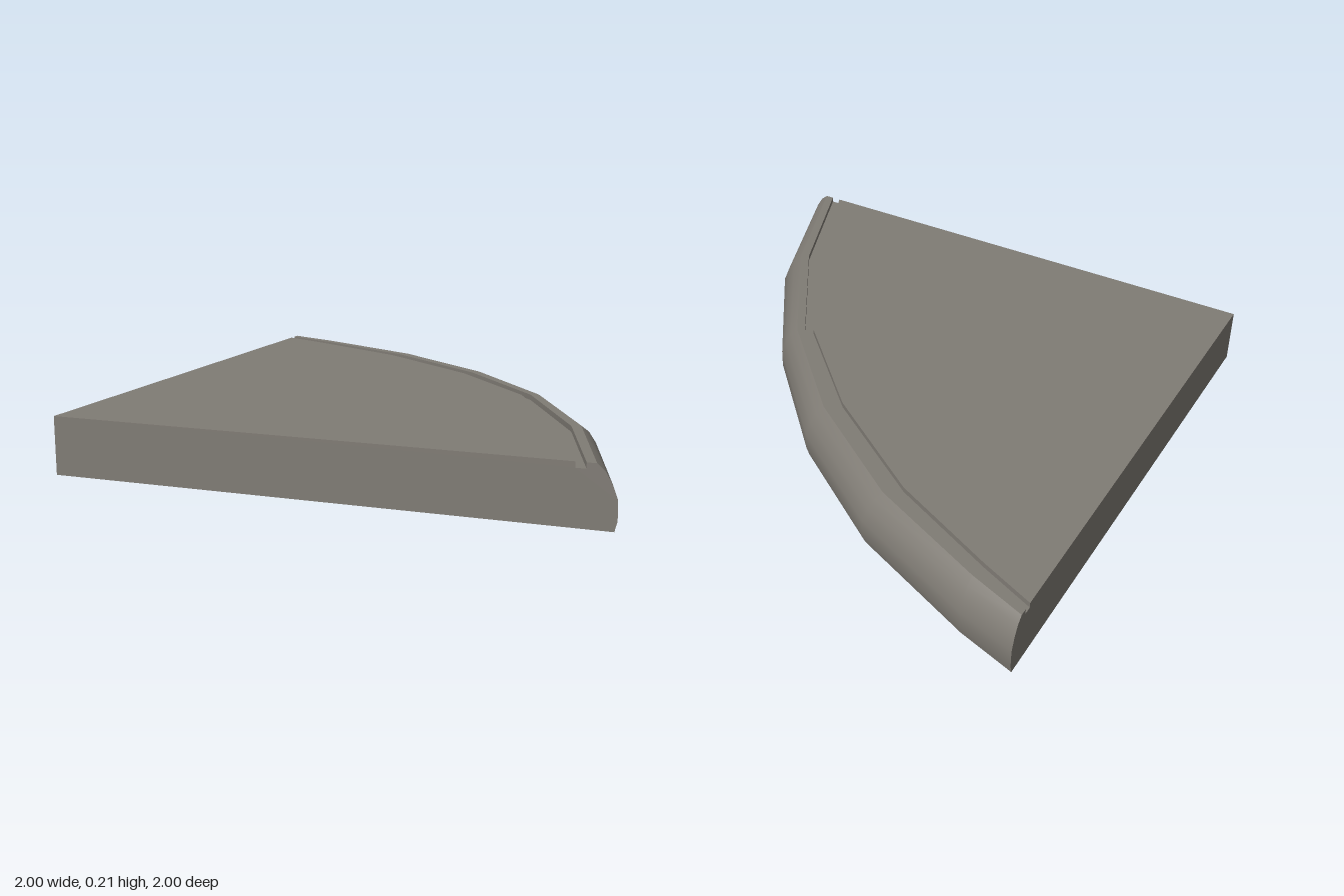
import * as THREE from 'three';
import { toCreasedNormals } from 'three/addons/utils/BufferGeometryUtils.js';

const HEIGHT = 0.21;

// Plan of the curved side [x, z]: outermost line, and inner edge of the groove
const OUTER = [[-1, -1], [-0.78, -0.93], [-0.28, -0.71], [0.15, -0.4], [0.52, 0], [0.81, 0.46], [1, 1]];
const INNER = [[-1, -0.88], [-0.79, -0.79], [-0.38, -0.595], [0.055, -0.29], [0.405, 0.06], [0.69, 0.54], [0.865, 1]];

// Cross-sections [t, y]: t = 0 on the outermost line, 1 on the inner line
const GROOVE = [[1, HEIGHT], [1, 0.19], [0.74, 0.19], [0.74, HEIGHT]];
const RIM = [[0.74, HEIGHT], [0.5, HEIGHT], [0.3, 0.187], [0.13, 0.148], [0, 0.1], [0, 0.035], [0.07, 0]];

// Point on the curved side at station i
function sidePoint(i, [t, y]) {
  const [ox, oz] = OUTER[i], [ix, iz] = INNER[i];
  return new THREE.Vector3(ox + (ix - ox) * t, y, oz + (iz - oz) * t);
}

// Sweep a cross-section along the curved side
function sweep(section) {
  const points = [];
  for (let i = 0; i < OUTER.length - 1; i++) {
    for (let j = 0; j < section.length - 1; j++) {
      const a = sidePoint(i, section[j]), b = sidePoint(i + 1, section[j]);
      const c = sidePoint(i + 1, section[j + 1]), d = sidePoint(i, section[j + 1]);
      points.push(a, b, c, a, c, d);
    }
  }
  return toCreasedNormals(new THREE.BufferGeometry().setFromPoints(points), 0.6);
}

// Flat face from 2D points
function flat(points) {
  return new THREE.ShapeGeometry(new THREE.Shape(points.map(([x, y]) => new THREE.Vector2(x, y))));
}

export function createModel() {
  const group = new THREE.Group();
  group.name = 'cornerSlab';
  const stone = new THREE.MeshStandardMaterial({ color: 0x807c75 });
  stone.name = 'warm grey';

  const add = (name, geometry) => {
    const mesh = new THREE.Mesh(geometry, stone);
    mesh.name = name;
    group.add(mesh);
  };

  // Curved edge
  add('roundedRim', sweep(RIM));
  add('groove', sweep(GROOVE));

  // Top and underside, both meeting at the square corner
  const plan = (profilePoint) => OUTER.map((_, i) => sidePoint(i, profilePoint));
  const top = plan(GROOVE[0]).map((p) => [p.x, -p.z]);
  add('topSurface', flat([[-1, -1], ...top]).rotateX(-Math.PI / 2).translate(0, HEIGHT, 0));
  const bottom = plan(RIM[RIM.length - 1]).map((p) => [p.x, p.z]);
  add('underside', flat([[-1, 1], ...bottom]).rotateX(Math.PI / 2));

  // Two straight sides, showing the cross-section
  const section = [...GROOVE, ...RIM.slice(1)];
  const front = section.map((s) => sidePoint(OUTER.length - 1, s)).map((p) => [p.x, p.y]);
  add('frontSide', flat([[-1, 0], [-1, HEIGHT], ...front]).translate(0, 0, 1));
  const side = section.map((s) => sidePoint(0, s)).map((p) => [p.z, p.y]);
  add('straightSide', flat([[1, 0], [1, HEIGHT], ...side]).rotateY(-Math.PI / 2).translate(-1, 0, 0));

  return group;
}
